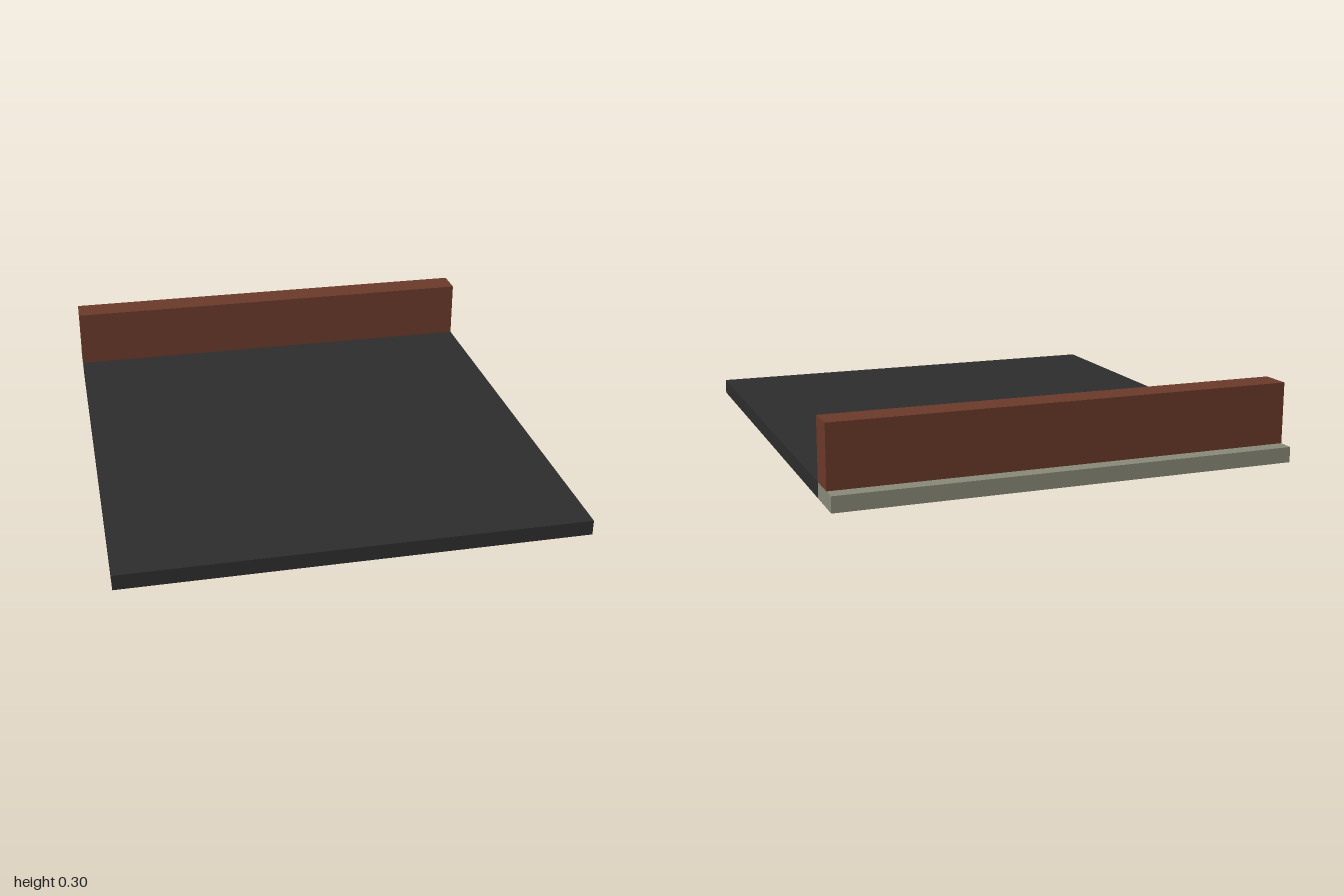
import * as THREE from 'three';

export function createModel() {
  const asphalt = new THREE.MeshStandardMaterial({ name: 'asphalt', color: 0x2d2d2d });
  const stone = new THREE.MeshStandardMaterial({ name: 'stone', color: 0x8b8b7a });
  const brick = new THREE.MeshStandardMaterial({ name: 'brick', color: 0x6b3a2a });

  const model = new THREE.Group();
  model.name = 'roadTile';
  const width = 1.818;

  // Full-width box spanning the given heights and depths
  function addSlab(name, material, y0, y1, z0, z1) {
    const mesh = new THREE.Mesh(new THREE.BoxGeometry(width, y1 - y0, z1 - z0), material);
    mesh.name = name;
    mesh.position.set(0, (y0 + y1) / 2, (z0 + z1) / 2);
    model.add(mesh);
  }

  // Road surface, stone strip along the back, and the low wall standing on it
  addSlab('road', asphalt, 0, 0.061, -0.818, 1);
  addSlab('kerb', stone, 0, 0.061, -1, -0.818);
  addSlab('wall', brick, 0.061, 0.303, -0.939, -0.818);

  return model;
}
